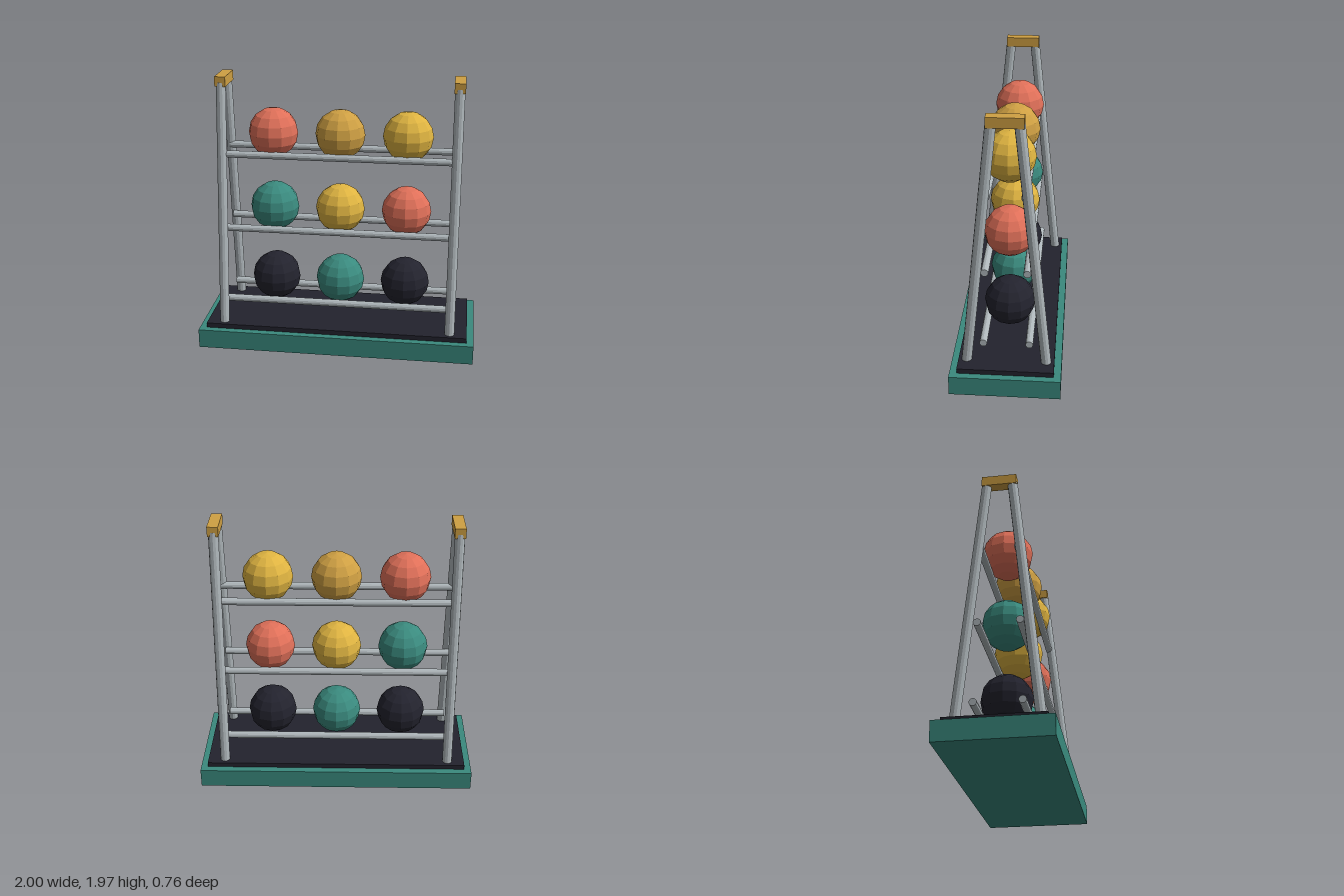
import * as THREE from 'three';

const material = (name, color) => {
  const m = new THREE.MeshStandardMaterial({ color });
  m.name = name;
  m.flatShading = true;
  return m;
};

export function createModel() {
  const teal = material('teal', 0x3a8a7e);
  const dark = material('charcoal', 0x23232e);
  const metal = material('steel', 0xb0b8bc);
  const ochre = material('ochre', 0xcfa043);
  const yellow = material('yellow', 0xdfb441);
  const coral = material('coral', 0xe07059);

  const model = new THREE.Group();
  model.name = 'ballRack';

  const add = (name, geometry, mat, x, y, z) => {
    const mesh = new THREE.Mesh(geometry, mat);
    mesh.name = name;
    mesh.position.set(x, y, z);
    model.add(mesh);
    return mesh;
  };

  // Round bar running between two points
  const bar = (name, from, to, radius) => {
    const dir = to.clone().sub(from);
    const mid = from.clone().add(to).multiplyScalar(0.5);
    const mesh = add(name, new THREE.CylinderGeometry(radius, radius, dir.length(), 12), metal, mid.x, mid.y, mid.z);
    mesh.quaternion.setFromUnitVectors(new THREE.Vector3(0, 1, 0), dir.normalize());
  };

  // Plinth and floor mat
  add('base', new THREE.BoxGeometry(2, 0.14, 0.76), teal, 0, 0.07, 0);
  add('mat', new THREE.BoxGeometry(1.9, 0.035, 0.66), dark, 0, 0.1575, 0);

  // Leaning end posts joined by caps
  for (const [side, sx] of [['left', 1], ['right', -1]]) {
    const x = sx * 0.826;
    for (const [end, sz] of [['Front', 1], ['Back', -1]]) {
      bar(`${side}${end}Post`, new THREE.Vector3(x, 0.155, sz * 0.275),
        new THREE.Vector3(x, 1.925, sz * 0.089), 0.035);
    }
    add(`${side}Cap`, new THREE.BoxGeometry(0.076, 0.07, 0.24), ochre, x, 1.935, 0);
  }

  // Three tiers: a pair of rails carrying three balls, listed from -x to +x
  const tiers = [
    { rail: 0.312, z: 0.157, colors: [dark, teal, dark] },
    { rail: 0.866, z: 0.141, colors: [teal, yellow, coral] },
    { rail: 1.419, z: 0.126, colors: [coral, ochre, yellow] },
  ];
  const ball = new THREE.SphereGeometry(0.178, 12, 8);
  tiers.forEach(({ rail, z, colors }, i) => {
    for (const [end, sz] of [['Front', 1], ['Back', -1]]) {
      bar(`tier${i + 1}${end}Rail`, new THREE.Vector3(-0.83, rail, sz * z),
        new THREE.Vector3(0.83, rail, sz * z), 0.026);
    }
    colors.forEach((mat, j) => add(`tier${i + 1}Ball${j + 1}`, ball, mat, (j - 1) * 0.48, 0.451 + i * 0.553, 0));
  });

  return model;
}
